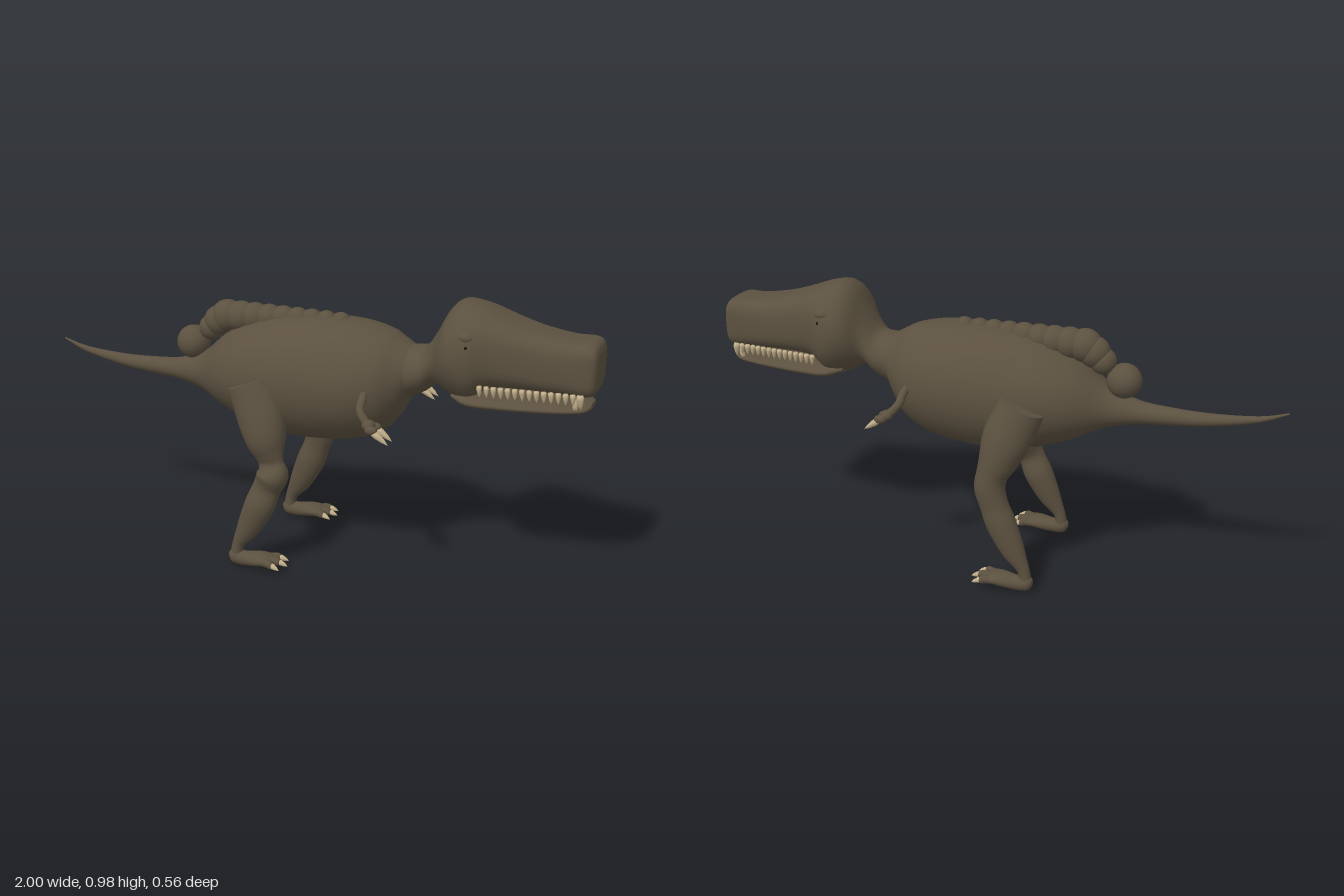
import * as THREE from 'three';

const hide = new THREE.MeshStandardMaterial({ color: 0x5c5140 });
hide.name = 'brown hide';
const ivory = new THREE.MeshStandardMaterial({ color: 0xc4b18c });
ivory.name = 'ivory';
const eyeMat = new THREE.MeshStandardMaterial({ color: 0x9a7a4a });
eyeMat.name = 'amber eye';
const pupilMat = new THREE.MeshStandardMaterial({ color: 0x15120e });
pupilMat.name = 'black pupil';

const Z = new THREE.Vector3(0, 0, 1);
const X = new THREE.Vector3(1, 0, 0);
const v = (x, y, z) => new THREE.Vector3(x, y, z);

// Smooth skin through sections [x, y, z, half height, half width, squareness]
function loft(sections, axis = null, steps = 5, sides = 32) {
  const path = new THREE.CatmullRomCurve3(sections.map(s => v(s[0], s[1], s[2])), false, 'catmullrom', 0.5);
  const size = new THREE.CatmullRomCurve3(sections.map(s => v(s[3], s[4], s[5] ?? 2)), false, 'catmullrom', 0.5);
  const rings = (sections.length - 1) * steps;
  const pos = [], idx = [];
  const ring = (t) => {
    const c = path.getPoint(t), r = size.getPoint(t);
    const d = axis ? axis.clone() : path.getTangent(t).setZ(0).normalize();
    const up = Z.clone().cross(d);
    for (let j = 0; j < sides; j++) {
      const a = (j / sides) * Math.PI * 2, e = 2 / r.z;
      const cu = Math.sign(Math.cos(a)) * Math.abs(Math.cos(a)) ** e;
      const cw = Math.sign(Math.sin(a)) * Math.abs(Math.sin(a)) ** e;
      const p = c.clone().addScaledVector(up, cu * r.x).addScaledVector(Z, cw * r.y);
      pos.push(p.x, p.y, p.z);
    }
    return c;
  };
  for (let i = 0; i <= rings; i++) ring(i / rings);
  for (let i = 0; i < rings; i++) for (let j = 0; j < sides; j++) {
    const k = (j + 1) % sides, a = i * sides + j, b = i * sides + k;
    idx.push(a, b, a + sides, b, b + sides, a + sides);
  }
  // Flat caps with their own vertices
  for (const t of [0, 1]) {
    const start = pos.length / 3, c = ring(t), mid = pos.length / 3;
    pos.push(c.x, c.y, c.z);
    for (let j = 0; j < sides; j++) {
      const a = start + j, b = start + (j + 1) % sides;
      if (t) idx.push(mid, a, b); else idx.push(mid, b, a);
    }
  }
  const g = new THREE.BufferGeometry();
  g.setAttribute('position', new THREE.Float32BufferAttribute(pos, 3));
  g.setIndex(idx);
  g.computeVertexNormals();
  return g;
}

function add(parent, name, geometry, material, position) {
  const m = new THREE.Mesh(geometry, material);
  m.name = name;
  if (position) m.position.copy(position);
  parent.add(m);
  return m;
}

// Pointed claw or tooth from a base point to its tip
function spike(parent, name, from, to, radius) {
  const dir = to.clone().sub(from), len = dir.length();
  const g = new THREE.LatheGeometry([[0, 0], [0.9, 0], [1, 0.25], [0.65, 0.65], [0, 1]]
    .map(p => new THREE.Vector2(p[0] * radius, p[1] * len)), 10);
  const m = add(parent, name, g, ivory, from);
  m.quaternion.setFromUnitVectors(v(0, 1, 0), dir.normalize());
}

function ball(parent, name, p, r, material = hide, s = [1, 1, 1]) {
  add(parent, name, new THREE.SphereGeometry(r, 24, 16), material, p).scale.set(...s);
}

// Section from top and bottom heights
const span = (x, top, bottom, w, n = 2) => [x, (top + bottom) / 2, 0, (top - bottom) / 2, w, n];

function buildHead(root) {
  const head = new THREE.Group();
  head.name = 'head';
  root.add(head);
  add(head, 'skullAndNeck', loft([
    span(0.3, 0.8, 0.6, 0.1), span(0.38, 0.81, 0.635, 0.1), span(0.43, 0.82, 0.66, 0.1),
    span(0.47, 0.88, 0.69, 0.105), span(0.51, 0.955, 0.675, 0.145), span(0.55, 0.985, 0.655, 0.163),
    span(0.6, 0.978, 0.66, 0.16, 2.3), span(0.65, 0.962, 0.705, 0.14, 2.7), span(0.71, 0.94, 0.718, 0.128, 3),
    span(0.8, 0.914, 0.72, 0.115, 3.2), span(0.9, 0.898, 0.72, 0.104, 3.5), span(0.965, 0.897, 0.72, 0.099, 4),
    span(0.99, 0.887, 0.727, 0.091, 4), span(0.999, 0.865, 0.745, 0.075, 4),
  ], X), hide);
  add(head, 'lowerJaw', loft([
    span(0.54, 0.7, 0.665, 0.1), span(0.6, 0.703, 0.645, 0.135), span(0.7, 0.698, 0.643, 0.125),
    span(0.82, 0.696, 0.648, 0.11), span(0.92, 0.696, 0.657, 0.095), span(0.965, 0.694, 0.664, 0.075),
    span(0.982, 0.69, 0.672, 0.045),
  ], X), hide);
  for (const s of [-1, 1]) {
    // Upper teeth, with a longer fang in front
    for (let i = 0; i < 14; i++) {
      const x = 0.64 + i * 0.0225, z = s * (0.126 - (x - 0.64) * 0.115);
      spike(head, 'tooth', v(x, 0.737, z), v(x + 0.003, 0.699, z * 0.98), 0.009);
    }
    spike(head, 'fang', v(0.955, 0.737, s * 0.092), v(0.96, 0.688, s * 0.088), 0.012);
    spike(head, 'lowerFang', v(0.94, 0.685, s * 0.078), v(0.945, 0.728, s * 0.088), 0.009);
    ball(head, 'brow', v(0.59, 0.893, s * 0.132), 0.024, hide, [1.3, 0.8, 0.9]);
    ball(head, 'eye', v(0.594, 0.864, s * 0.141), 0.015, eyeMat);
    ball(head, 'pupil', v(0.598, 0.865, s * 0.151), 0.0065, pupilMat);
  }
}

function buildArm(root, s) {
  const arm = new THREE.Group();
  arm.name = s > 0 ? 'nearArm' : 'farArm';
  root.add(arm);
  const path = new THREE.CatmullRomCurve3([
    v(0.26, 0.68, s * 0.15), v(0.27, 0.665, s * 0.19), v(0.275, 0.635, s * 0.225), v(0.305, 0.6, s * 0.242)]);
  add(arm, 'forearm', new THREE.TubeGeometry(path, 20, 0.014, 12), hide);
  ball(arm, 'hand', v(0.312, 0.597, s * 0.243), 0.02, hide, [1.1, 0.9, 1.3]);
  for (const z of [0.225, 0.265]) {
    ball(arm, 'finger', v(0.328, 0.588, s * z), 0.015, hide, [1.4, 1, 1]);
    spike(arm, 'handClaw', v(0.335, 0.583, s * z), v(0.388, 0.545, s * z), 0.012);
  }
}

function buildLeg(root, s, shape) {
  const leg = new THREE.Group();
  leg.name = s > 0 ? 'nearLeg' : 'farLeg';
  root.add(leg);
  add(leg, 'thighAndShin', loft(shape.map(([x, y, z, r, w]) => [x, y, s * z, r, w])), hide);
  const zc = s * 0.232;
  add(leg, 'foot', loft([
    [-0.205, 0.035, zc, 0.012, 0.012], [-0.19, 0.032, zc, 0.027, 0.024], [-0.15, 0.028, zc, 0.026, 0.028],
    [-0.1, 0.035, zc, 0.025, 0.04], [-0.06, 0.038, zc, 0.019, 0.042], [-0.035, 0.036, zc, 0.01, 0.03]], X), hide);
  for (const t of [-1, 0, 1]) {
    const z = zc + t * 0.037, x = t ? -0.022 : -0.008;
    add(leg, 'toe', loft([[-0.09, 0.034, zc + t * 0.02, 0.014, 0.014], [-0.05, 0.038, zc + t * 0.03, 0.015, 0.014],
      [x - 0.012, 0.037, z, 0.014, 0.013], [x, 0.036, z, 0.007, 0.007]], X, 4, 14), hide);
    spike(leg, 'toeClaw', v(x - 0.008, 0.038, z), v(x + 0.025, 0.026, z + t * 0.006), 0.01);
  }
}

export function createModel() {
  const root = new THREE.Group();
  root.name = 'dinosaur';

  add(root, 'bodyAndTail', loft([
    span(-0.999, 0.677, 0.671, 0.003), span(-0.9, 0.653, 0.63, 0.011), span(-0.74, 0.643, 0.598, 0.024),
    span(-0.6, 0.648, 0.585, 0.034), span(-0.5, 0.66, 0.577, 0.045), span(-0.4, 0.7, 0.555, 0.08),
    span(-0.3, 0.785, 0.51, 0.148), span(-0.2, 0.835, 0.472, 0.188), span(-0.1, 0.862, 0.447, 0.202),
    span(0, 0.875, 0.44, 0.206), span(0.1, 0.878, 0.446, 0.207), span(0.2, 0.873, 0.462, 0.2),
    span(0.29, 0.853, 0.503, 0.17), span(0.34, 0.828, 0.56, 0.13), span(0.375, 0.808, 0.63, 0.1),
  ], X), hide);

  // Row of overlapping knobs along the back
  const ridge = new THREE.Group();
  ridge.name = 'backRidge';
  root.add(ridge);
  ball(ridge, 'ridgeKnob', v(-0.45, 0.725, 0), 0.06);
  ball(ridge, 'ridgeKnob', v(-0.375, 0.787, 0), 0.046);
  ball(ridge, 'ridgeKnob', v(-0.345, 0.815, 0), 0.054);
  for (let i = 0; i < 9; i++) {
    const r = 0.058 - i * 0.003;
    ball(ridge, 'ridgeKnob', v(-0.312 + i * 0.0535, 0.893 - r, 0), r);
  }

  buildHead(root);
  for (const s of [-1, 1]) buildArm(root, s);

  // Knotted near leg and smoother far leg: [x, y, z, depth, width]
  buildLeg(root, 1, [
    [-0.147, 0.665, 0.168, 0.084, 0.068], [-0.1, 0.55, 0.187, 0.084, 0.073], [-0.075, 0.475, 0.197, 0.072, 0.068],
    [-0.058, 0.425, 0.211, 0.052, 0.038], [-0.05, 0.395, 0.213, 0.046, 0.03], [-0.045, 0.355, 0.215, 0.056, 0.054],
    [-0.065, 0.305, 0.221, 0.05, 0.034], [-0.09, 0.24, 0.224, 0.054, 0.046], [-0.133, 0.15, 0.227, 0.042, 0.035],
    [-0.17, 0.085, 0.23, 0.023, 0.022], [-0.18, 0.04, 0.231, 0.022, 0.022]]);
  buildLeg(root, -1, [
    [-0.147, 0.665, 0.168, 0.084, 0.068], [-0.1, 0.55, 0.187, 0.084, 0.075], [-0.075, 0.475, 0.2, 0.07, 0.068],
    [-0.055, 0.42, 0.213, 0.055, 0.055], [-0.048, 0.37, 0.22, 0.054, 0.05], [-0.065, 0.305, 0.222, 0.05, 0.045],
    [-0.09, 0.24, 0.223, 0.053, 0.047], [-0.133, 0.15, 0.227, 0.042, 0.036],
    [-0.17, 0.085, 0.23, 0.023, 0.022], [-0.18, 0.04, 0.231, 0.022, 0.022]]);
  return root;
}
